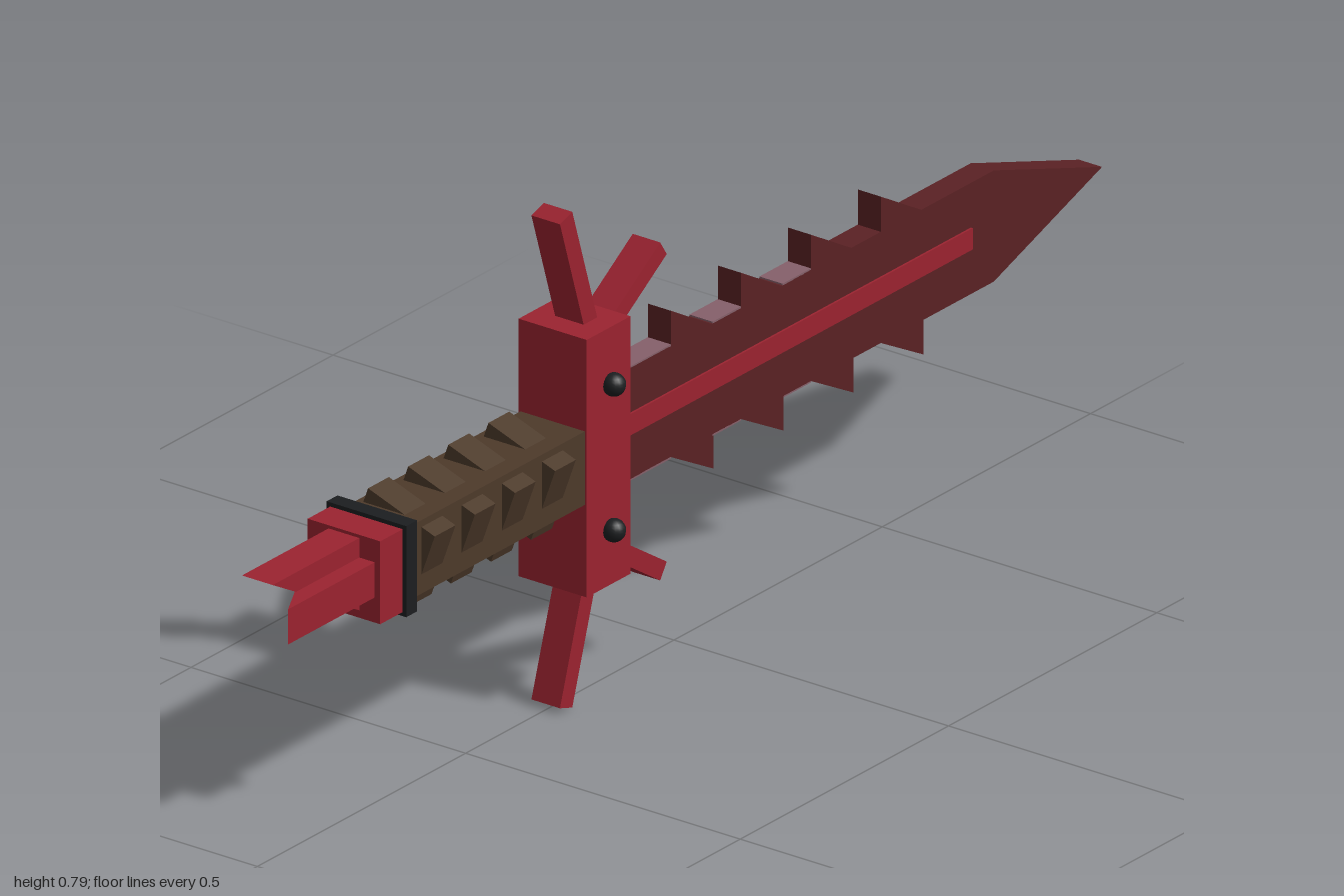
import * as THREE from 'three';

const MID = 0.395; // height of the sword's long axis

function material(name, color) {
  const m = new THREE.MeshStandardMaterial({ color });
  m.name = name;
  return m;
}

// Prism from a (z, y) outline, centred on x = 0
function sidePrism(points, thickness) {
  const shape = new THREE.Shape(points.map(([z, y]) => new THREE.Vector2(z, y)));
  return new THREE.ExtrudeGeometry(shape, { depth: thickness, bevelEnabled: false })
    .translate(0, 0, -thickness / 2).rotateY(-Math.PI / 2);
}

// Prism from an (x, z) outline, centred on y = 0
function flatPrism(points, thickness) {
  const shape = new THREE.Shape(points.map(([x, z]) => new THREE.Vector2(x, z)));
  return new THREE.ExtrudeGeometry(shape, { depth: thickness, bevelEnabled: false })
    .translate(0, 0, -thickness / 2).rotateX(Math.PI / 2);
}

export function createModel() {
  const sword = new THREE.Group();
  sword.name = 'sword';
  const red = material('crimson', 0x9b2330);
  const maroon = material('dark maroon', 0x5a2124);
  const brown = material('brown leather', 0x4d3a2a);
  const black = material('black iron', 0x1c1e20);
  const pale = material('pale rose', 0x85606a);

  function add(name, geometry, mat, x = 0, y = 0, z = 0) {
    const mesh = new THREE.Mesh(geometry, mat);
    mesh.name = name;
    mesh.position.set(x, y, z);
    sword.add(mesh);
    return mesh;
  }
  const box = (name, mat, w, h, z0, z1, y = MID) =>
    add(name, new THREE.BoxGeometry(w, h, z1 - z0), mat, 0, y, (z0 + z1) / 2);

  // Blade: one outline with saw teeth along both edges
  const top = 0.487, bottom = 0.31;
  const teeth = [0, 1, 2, 3].map(i => 0.035 - i * 0.168);
  const outline = [[0.2, bottom], [0.2, top]];
  for (const z of teeth) outline.push([z, top], [z, 0.543], [z - 0.097, top]);
  outline.push([-0.74, top], [-1, 0.399], [-0.74, bottom]);
  for (const z of [...teeth].reverse()) outline.push([z - 0.102, bottom], [z - 0.102, 0.255], [z, bottom]);
  add('blade', sidePrism(outline.reverse(), 0.042), maroon);
  box('bladeRidge', red, 0.049, 0.034, -0.685, 0.16, 0.399);

  // Pale plates in the gaps between the first teeth
  for (const [z0, z1] of [[0.035, 0.187], [-0.133, -0.065], [-0.301, -0.233]]) {
    box('upperEdgePlate', pale, 0.042, 0.003, z0, z1, top + 0.001);
    box('lowerEdgePlate', pale, 0.042, 0.003, z0, z1, bottom - 0.001);
  }

  // Guard with studs and mirrored prongs
  box('guard', red, 0.124, 0.41, 0.186, 0.291);
  for (const s of [-1, 1]) {
    for (const side of [-1, 1])
      add('guardStud', new THREE.SphereGeometry(0.018, 16, 12), black, side * 0.069, MID + s * 0.116, 0.235);
    const prong = (name, [z0, y0], [z1, y1], w, d) => {
      const length = Math.hypot(z1 - z0, y1 - y0);
      const mesh = add(name, new THREE.BoxGeometry(w, length, d), red,
        0, MID + s * (y0 + y1) / 2, (z0 + z1) / 2);
      mesh.rotation.x = Math.atan2(z1 - z0, s * (y1 - y0));
    };
    prong('guardProng', [0.222, 0.165], [0.293, 0.39], 0.052, 0.031);
    prong('bladeProng', [0.235, 0.141], [0.058, 0.257], 0.05, 0.029);
  }

  // Grip with twisted square wraps
  box('grip', brown, 0.117, 0.117, 0.28, 0.72);
  for (let i = 0; i < 4; i++) {
    const z = 0.369 + i * 0.0963;
    box('gripWrap', brown, 0.129, 0.129, z - 0.025, z + 0.025).rotation.z = -0.345;
  }

  // Pommel block, collar and two crossed wedge spikes
  box('pommelCollar', black, 0.145, 0.145, 0.712, 0.738);
  box('pommel', red, 0.132, 0.132, 0.73, 0.792);
  add('verticalSpike', sidePrism([[0.785, 0.337], [1, 0.456], [0.785, 0.456]], 0.056), red);
  add('horizontalSpike', flatPrism([[-0.06, 0.785], [0.056, 0.785], [0.056, 1]], 0.056), red, 0, 0.397, 0);

  return sword;
}
